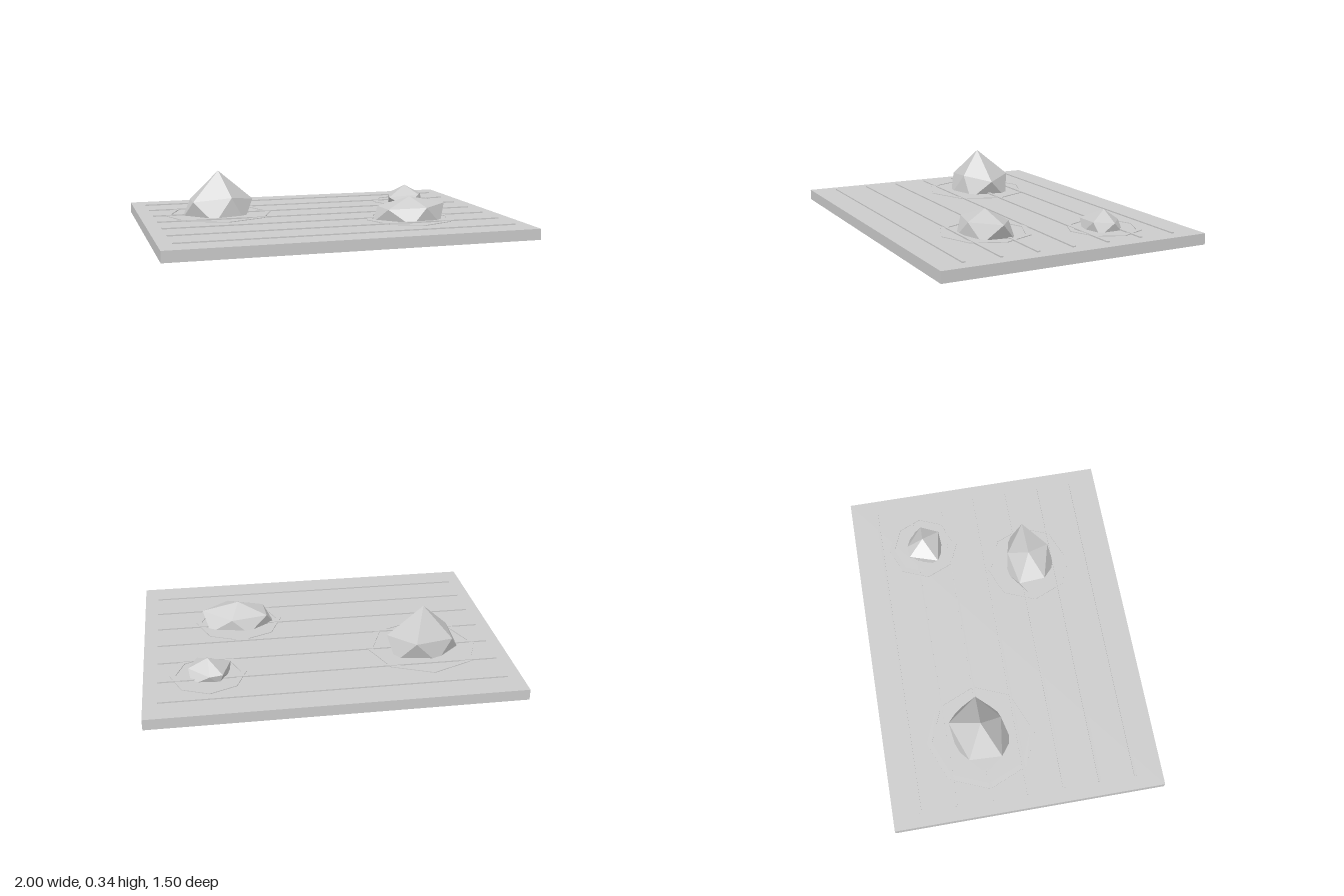
import * as THREE from 'three';

const stone = new THREE.MeshStandardMaterial({ color: 0xcccccc });
stone.name = 'pale grey';

const SAND = 0.09; // height of the sand surface

// Faceted boulder: apex, five upper corners, five lower corners, hidden tip.
// Corners are [x, y, z], with x and z relative to the boulder's centre.
function boulder(name, [cx, cz], topY, upper, lower, bottomY) {
  const pos = [];
  const tri = (...corners) => corners.forEach((c) => pos.push(...c));
  const top = [0, topY, 0], bottom = [0, bottomY, 0];
  for (let i = 0; i < 5; i++) {
    const j = (i + 1) % 5;
    tri(top, upper[j], upper[i]);
    tri(upper[i], upper[j], lower[i]);
    tri(upper[j], lower[j], lower[i]);
    tri(bottom, lower[i], lower[j]);
  }
  const geo = new THREE.BufferGeometry();
  geo.setAttribute('position', new THREE.Float32BufferAttribute(pos, 3));
  geo.computeVertexNormals();
  const mesh = new THREE.Mesh(geo, stone);
  mesh.name = name;
  mesh.position.set(cx, 0, cz);
  return mesh;
}

// Low flat-topped octagonal ridge raked around a boulder
function rakedRing(name, [cx, cz], radius) {
  const octagon = (r) => Array.from({ length: 8 }, (_, i) =>
    new THREE.Vector2(r * Math.cos(i * Math.PI / 4), r * Math.sin(i * Math.PI / 4)));
  const shape = new THREE.Shape(octagon(radius));
  shape.holes.push(new THREE.Path(octagon(radius - 0.03).reverse()));
  const geo = new THREE.ExtrudeGeometry(shape, { depth: 0.006, bevelEnabled: false });
  geo.rotateX(-Math.PI / 2);
  const mesh = new THREE.Mesh(geo, stone);
  mesh.name = name;
  mesh.position.set(cx, SAND - 0.002, cz);
  return mesh;
}

export function createModel() {
  const group = new THREE.Group();
  group.name = 'rockGarden';

  // Sand slab
  const slab = new THREE.Mesh(new THREE.BoxGeometry(2, 0.06, 1.5), stone);
  slab.name = 'sandBed';
  slab.position.y = 0.06;
  group.add(slab);

  // Straight raked ridges
  const ridgeGeo = new THREE.BoxGeometry(1.85, 0.01, 0.016);
  for (let i = -3; i <= 3; i++) {
    const ridge = new THREE.Mesh(ridgeGeo, stone);
    ridge.name = 'rakedRidge';
    ridge.position.set(0, SAND + 0.002, i * 0.2);
    group.add(ridge);
  }

  // Boulders, each with its ring
  const tall = [-0.55, -0.2], wide = [0.45, 0.25], small = [0.655, -0.35];
  group.add(
    boulder('tallBoulder', tall, 0.34,
      [[-0.15, 0.17, -0.09], [0.07, 0.19, -0.17], [0.2, 0.17, 0], [0.055, 0.195, 0.12], [-0.16, 0.175, 0.09]],
      [[-0.055, 0.06, -0.15], [0.17, 0.06, -0.11], [0.13, 0.06, 0.11], [-0.05, 0.06, 0.16], [-0.215, 0.06, -0.01]],
      0),
    boulder('wideBoulder', wide, 0.215,
      [[-0.16, 0.155, -0.08], [0.045, 0.15, -0.115], [0.21, 0.17, 0], [0.055, 0.165, 0.125], [-0.15, 0.155, 0.07]],
      [[-0.05, 0.07, -0.135], [0.17, 0.07, -0.09], [0.15, 0.07, 0.09], [-0.04, 0.07, 0.15], [-0.21, 0.07, -0.02]],
      0.035),
    boulder('smallBoulder', small, 0.19,
      [[-0.075, 0.13, -0.09], [-0.005, 0.125, -0.095], [0.105, 0.135, 0], [0.055, 0.14, 0.1], [-0.125, 0.125, 0.07]],
      [[-0.055, 0.07, -0.08], [0.09, 0.07, -0.065], [0.09, 0.07, 0.08], [-0.03, 0.07, 0.11], [-0.115, 0.07, 0.02]],
      0.04),
    rakedRing('tallBoulderRing', tall, 0.31),
    rakedRing('wideBoulderRing', wide, 0.25),
    rakedRing('smallBoulderRing', small, 0.205),
  );
  return group;
}
